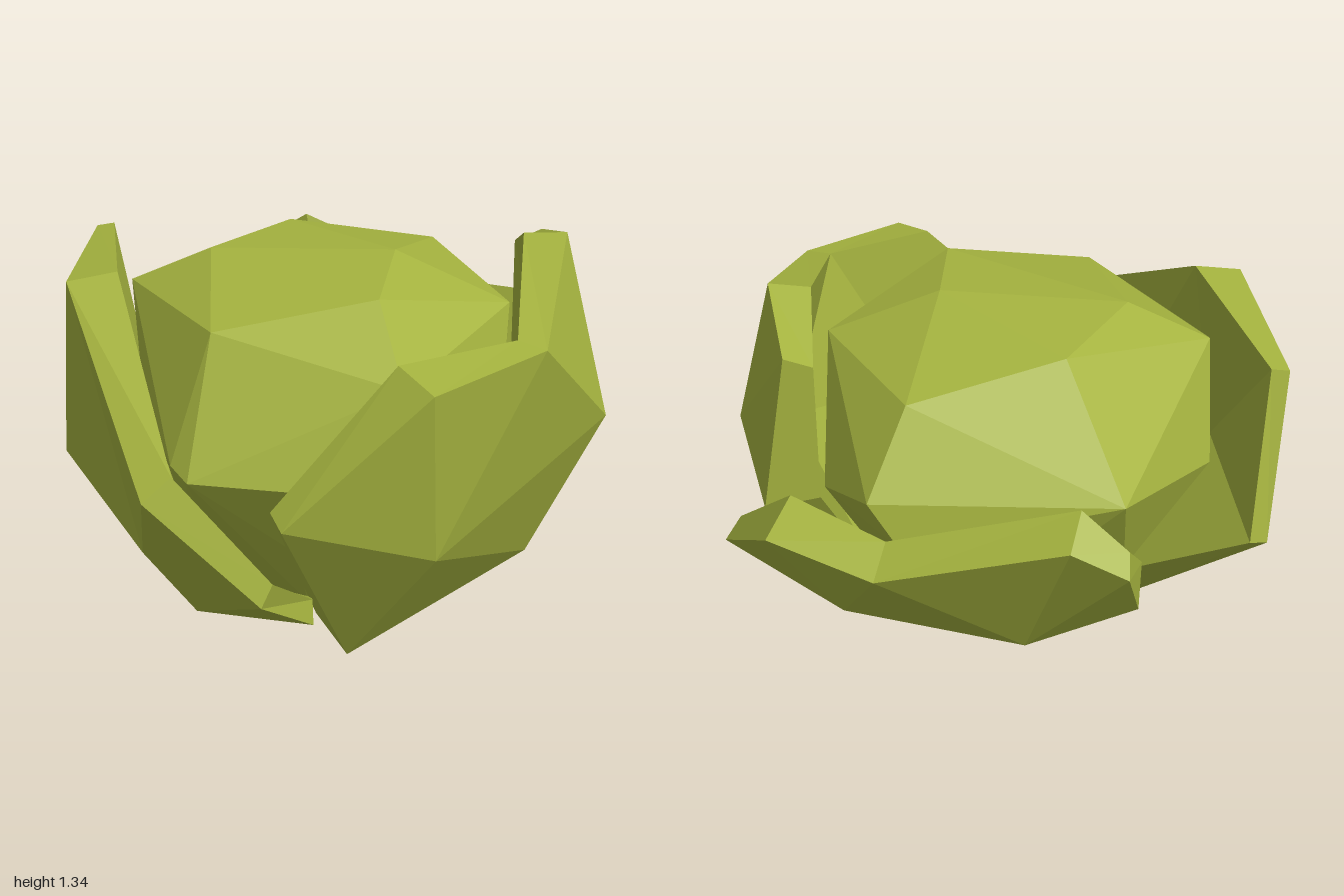
import * as THREE from 'three';
import { ConvexGeometry } from 'three/addons/geometries/ConvexGeometry.js';

const CENTRE = new THREE.Vector3(-0.05, 0.7, 0.05);
const leafGreen = new THREE.MeshStandardMaterial({ color: 0xa5b33f });
leafGreen.name = 'leafGreen';

// Thick faceted leaf. Each point is [outer, inner]; a missing inner point
// is the outer one drawn in towards the centre of the head.
function leaf(name, points, faces) {
  const outer = {}, inner = {};
  for (const [key, [o, i]] of Object.entries(points)) {
    outer[key] = new THREE.Vector3(...o);
    inner[key] = i ? new THREE.Vector3(...i) : outer[key].clone().lerp(CENTRE, 0.16);
  }
  const verts = [];
  const tri = (...corners) => corners.forEach((p) => verts.push(p.x, p.y, p.z));
  const edges = new Set();
  const wound = faces.map((face) => {
    const [a, b, c] = face.map((k) => outer[k]);
    const normal = b.clone().sub(a).cross(c.clone().sub(a));
    const outward = a.clone().add(b).add(c).divideScalar(3).sub(CENTRE);
    return normal.dot(outward) < 0 ? [face[0], face[2], face[1]] : face;
  });
  // outer and inner skins
  for (const [a, b, c] of wound) {
    tri(outer[a], outer[b], outer[c]);
    tri(inner[c], inner[b], inner[a]);
    for (const [p, q] of [[a, b], [b, c], [c, a]]) edges.add(p + ',' + q);
  }
  // rim along the open border
  for (const edge of edges) {
    const [a, b] = edge.split(',');
    if (edges.has(b + ',' + a)) continue;
    tri(outer[b], outer[a], inner[a]);
    tri(outer[b], inner[a], inner[b]);
  }
  const geometry = new THREE.BufferGeometry();
  geometry.setAttribute('position', new THREE.Float32BufferAttribute(verts, 3));
  geometry.computeVertexNormals();
  const mesh = new THREE.Mesh(geometry, leafGreen);
  mesh.name = name;
  return mesh;
}

const split = (list) => list.split(' ').map((f) => f.split('-'));

// Faceted inner head
function heart() {
  const pts = [
    // crown
    [0.27, 1.15, -0.46], [-0.22, 1.24, -0.31], [-0.42, 1.25, 0.05],
    [0.2, 1.25, 0.42], [0.2, 1.28, 0.05], [-0.3, 1.16, 0.55],
    // shoulder
    [-0.41, 0.91, -0.64], [0.38, 0.91, -0.65], [-0.7, 1.12, 0.05],
    [0.58, 1.12, 0.05], [0.31, 1.06, 0.66], [-0.58, 0.85, 0.38],
    // widest ring
    [-0.4, 0.78, 0.72], [-0.33, 0.76, 0.79], [0.03, 0.76, 0.79], [-0.71, 0.77, -0.17],
    [0.56, 0.76, -0.35], [0.58, 0.76, 0.28], [0.45, 0.76, 0.53], [0.28, 0.76, -0.68],
  ].map((p) => new THREE.Vector3(...p));
  // tapering base with a flat underside
  for (let i = 0; i < 8; i++) {
    const a = (i / 8) * Math.PI * 2;
    pts.push(new THREE.Vector3(-0.03 + 0.57 * Math.cos(a), 0.45, 0.06 + 0.57 * Math.sin(a)));
    pts.push(new THREE.Vector3(-0.02 + 0.4 * Math.cos(a), 0.17, 0.08 + 0.4 * Math.sin(a)));
  }
  const mesh = new THREE.Mesh(new ConvexGeometry(pts), leafGreen);
  mesh.name = 'heart';
  return mesh;
}

export function createModel() {
  const group = new THREE.Group();
  group.name = 'cabbage';
  group.add(heart());

  // leaf on the -x side, wrapping to the front
  group.add(leaf('rightLeaf', {
    back: [[-0.89, 0.62, -0.41], [-0.83, 0.64, -0.44]],
    top1: [[-0.92, 1.19, -0.27], [-0.86, 1.2, -0.28]],
    top2: [[-0.82, 1.22, 0.36], [-0.66, 1.25, 0.32]],
    rim1: [[-0.41, 0.8, 1], [-0.33, 0.87, 0.95]],
    rim2: [[-0.07, 0.45, 0.96], [-0.04, 0.52, 0.93]],
    end: [[0.04, 0.23, 0.7], [0.03, 0.3, 0.66]],
    base1: [[-0.09, 0.05, 0.43], [-0.02, 0.16, 0.43]],
    base2: [[-0.52, 0.08, 0], [-0.33, 0.2, -0.09]],
    side: [[-0.89, 0.58, 0.31]],
    front: [[-0.5, 0.47, 0.74]],
    low: [[-0.36, 0.2, 0.64]],
  }, split('top1-top2-side top1-side-back back-side-base2 top2-side-front top2-front-rim1 ' +
    'front-rim1-rim2 front-rim2-low side-front-base2 front-low-base2 low-base1-base2 ' +
    'low-rim2-end low-end-base1')));

  // leaf on the +x side
  group.add(leaf('leftLeaf', {
    rim1: [[0, 0.73, 0.98], [-0.05, 0.75, 0.9]],
    rim2: [[0.42, 1.14, 0.85], [0.3, 1.17, 0.72]],
    rim3: [[0.72, 1.17, 0.54], [0.63, 1.18, 0.5]],
    top: [[0.75, 1.34, -0.04], [0.61, 1.33, -0.04]],
    back1: [[0.66, 1.24, -0.35], [0.57, 1.2, -0.33]],
    back2: [[0.76, 0.68, -0.37], [0.58, 0.7, -0.33]],
    base1: [[0.68, 0.19, 0.06], [0.47, 0.2, -0.03]],
    base2: [[0.12, 0, 0.52], [0, 0.1, 0.44]],
    front: [[0.43, 0.54, 0.75]],
    side: [[0.92, 0.75, 0.08], [0.73, 0.76, 0.08]],
  }, split('rim1-rim2-front rim2-rim3-front rim3-side-front rim3-top-side top-back1-side ' +
    'back1-back2-side back2-base1-side front-side-base1 front-base1-base2 rim1-front-base2')));

  // low leaf behind
  group.add(leaf('backLeaf', {
    tip1: [[-0.41, 0.92, -1], [-0.41, 0.97, -0.93]],
    tip2: [[-0.24, 1, -0.99], [-0.27, 1.07, -0.87]],
    rim1: [[0.34, 0.79, -0.88], [0.31, 0.87, -0.78]],
    rim2: [[0.68, 0.84, -0.75], [0.62, 0.91, -0.61]],
    rim3: [[0.9, 0.56, -0.39], [0.86, 0.6, -0.31]],
    base1: [[0.37, 0.03, -0.06], [0.3, 0.17, 0]],
    base2: [[-0.15, 0.07, -0.29], [-0.15, 0.2, -0.2]],
    edge: [[-0.47, 0.5, -0.62], [-0.47, 0.7, -0.63]],
    mid1: [[-0.11, 0.43, -0.73]],
    mid2: [[0.49, 0.41, -0.56]],
  }, split('rim3-rim2-mid2 rim2-rim1-mid2 rim1-mid1-mid2 rim1-tip2-mid1 tip2-tip1-mid1 ' +
    'tip1-edge-mid1 mid1-edge-base2 mid1-base2-mid2 base2-base1-mid2 mid2-base1-rim3')));

  return group;
}
